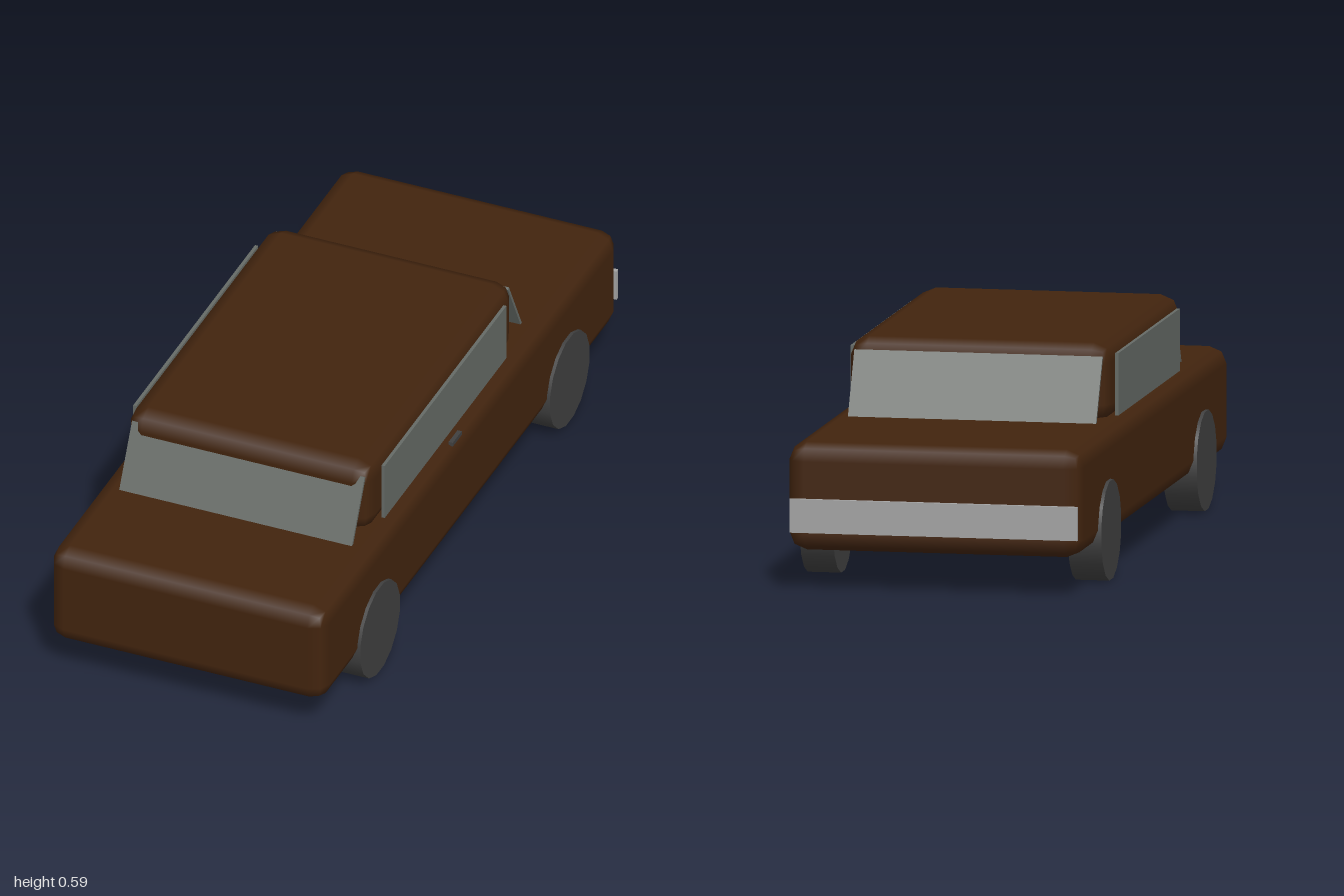
import * as THREE from 'three';
import { RoundedBoxGeometry } from 'three/addons/geometries/RoundedBoxGeometry.js';

export function createModel() {
  const car = new THREE.Group();
  car.name = 'car';

  const material = (name, color) => {
    const m = new THREE.MeshStandardMaterial({ color });
    m.name = name;
    return m;
  };
  const paint = material('brown paint', 0x42240e);
  const glass = material('grey glass', 0x656a66);
  const rubber = material('dark rubber', 0x404040);
  const chrome = material('light metal', 0xa4a4a4);

  const add = (name, geometry, mat, x, y, z) => {
    const mesh = new THREE.Mesh(geometry, mat);
    mesh.name = name;
    mesh.position.set(x, y, z);
    car.add(mesh);
    return mesh;
  };

  // Bevelled lower body and cabin
  add('body', new RoundedBoxGeometry(0.794, 0.287, 1.985, 1, 0.047), paint, 0, 0.2465, 0.0055);
  add('cabin', new RoundedBoxGeometry(0.704, 0.212, 0.985, 1, 0.05), paint, 0, 0.481, 0.0975);

  // Sloping front and rear glass, leaning in towards the roof
  const slope = (name, zBottom, zTop) => {
    const yBottom = 0.388, yTop = 0.555;
    const length = Math.hypot(zTop - zBottom, yTop - yBottom);
    const pane = add(name, new THREE.BoxGeometry(0.668, length, 0.008), glass,
      0, (yBottom + yTop) / 2, (zBottom + zTop) / 2);
    pane.rotation.x = Math.atan2(zTop - zBottom, yTop - yBottom);
  };
  slope('windshield', 0.658, 0.572);
  slope('rearWindow', -0.472, -0.386);

  // Side glass stands slightly proud of the cabin
  for (const [side, s] of [['left', 1], ['right', -1]]) {
    add(side + 'SideWindow', new THREE.BoxGeometry(0.009, 0.166, 0.815), glass, s * 0.3565, 0.472, 0.0975);

    // Wheels with a flat facet at the bottom
    for (const [end, z] of [['Front', 0.64], ['Rear', -0.628]]) {
      const tyre = new THREE.CylinderGeometry(0.1345, 0.1345, 0.09, 16);
      tyre.rotateY(Math.PI / 16);
      tyre.rotateZ(Math.PI / 2);
      add(side + end + 'Wheel', tyre, rubber, s * 0.361, 0.132, z);
    }
  }

  // Small door handle and the rear bumper
  add('doorHandle', new THREE.BoxGeometry(0.012, 0.012, 0.06), rubber, 0.381, 0.382, 0.08);
  add('rearBumper', new THREE.BoxGeometry(0.775, 0.09, 0.012), chrome, -0.002, 0.2, -0.994);

  return car;
}
